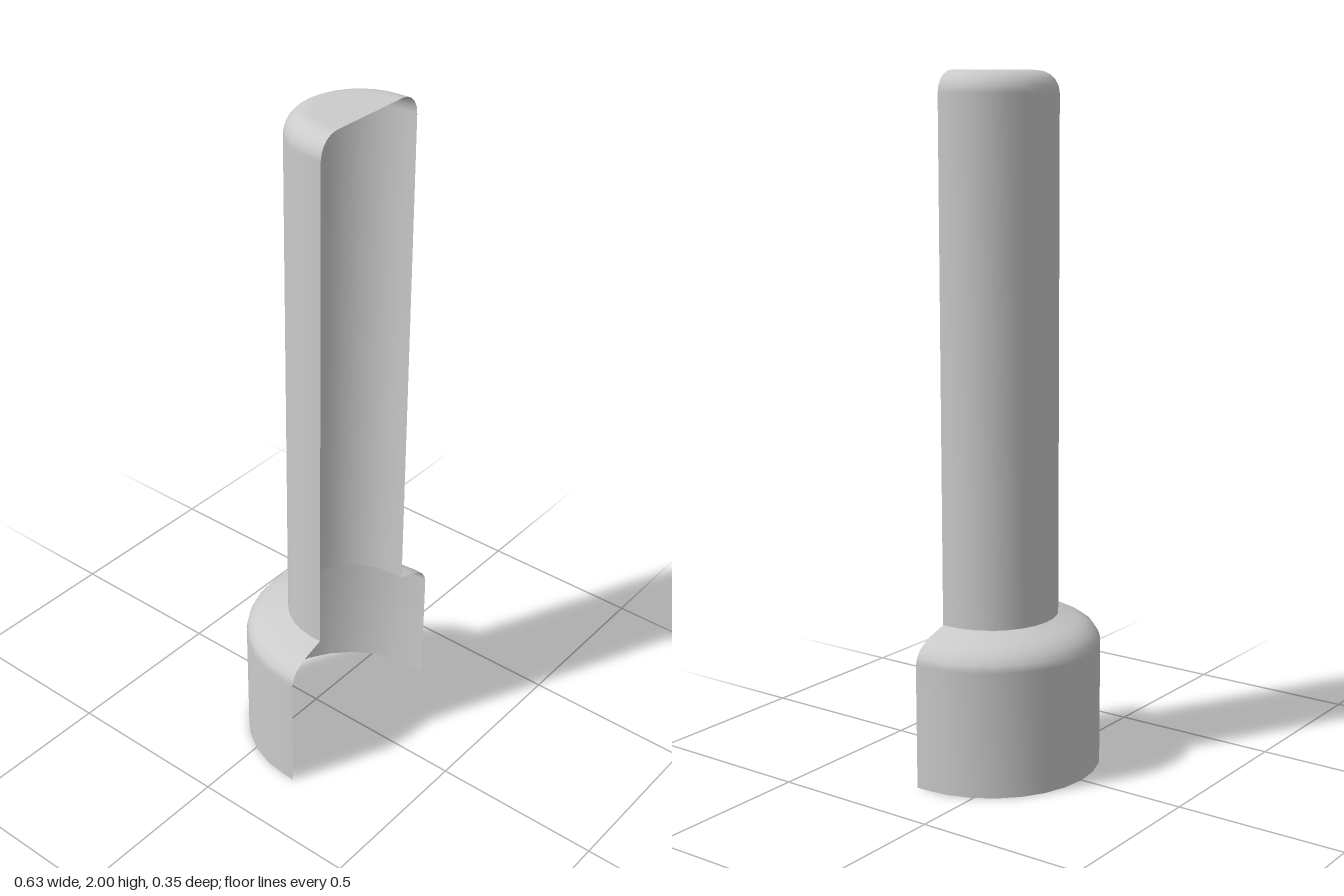
import * as THREE from 'three';

const AXIS_Z = 0.143;   // centre of the half-round plan
const FRONT_Z = 0.174;  // open front edge
const SEGMENTS = 14;

const material = new THREE.MeshStandardMaterial({ color: 0xcccccc, side: THREE.DoubleSide });

// Half-round plan with short straight sides, running from +x round the back to -x
function planLoop(r, y) {
  const loop = [[r, y, FRONT_Z]];
  for (let j = 0; j <= SEGMENTS; j++) {
    const a = (j / SEGMENTS) * Math.PI;
    loop.push([r * Math.cos(a), y, AXIS_Z - r * Math.sin(a)]);
  }
  loop.push([-r, y, FRONT_Z]);
  return loop;
}

// Skin a [radius, height] profile over the half-round plan
function halfShell(name, profile) {
  const loops = profile.map(([r, y]) => planLoop(r, y));
  const n = loops[0].length;
  const index = [];
  for (let i = 0; i < loops.length - 1; i++) {
    for (let j = 0; j < n - 1; j++) {
      const a = i * n + j, b = a + 1, c = b + n, d = a + n;
      index.push(a, b, d, b, c, d);
    }
  }
  const geometry = new THREE.BufferGeometry();
  geometry.setAttribute('position', new THREE.Float32BufferAttribute(loops.flat(2), 3));
  geometry.setIndex(index);
  geometry.computeVertexNormals();
  const mesh = new THREE.Mesh(geometry, material);
  mesh.name = name;
  return mesh;
}

// Quarter-round profile from a vertical wall to a flat top
function fillet(r, top, size, steps) {
  const points = [];
  for (let i = 0; i <= steps; i++) {
    const a = (i / steps) * Math.PI / 2;
    points.push([r - size + size * Math.cos(a), top - size + size * Math.sin(a)]);
  }
  return points;
}

export function createModel() {
  const group = new THREE.Group();
  group.name = 'halfShellPost';

  // Wide collar with a rounded, sloping shoulder, open below
  group.add(halfShell('baseCollar', [
    [0.317, 0], [0.317, 0.365], [0.311, 0.385], [0.297, 0.405],
    [0.275, 0.42], [0.25, 0.432], [0.193, 0.45],
  ]));

  // Tall shaft with rounded top edge and flat cap
  group.add(halfShell('shaft', [[0.193, 0.45], ...fillet(0.193, 2, 0.062, 5), [0.115, 2], [0, 2]]));

  return group;
}
